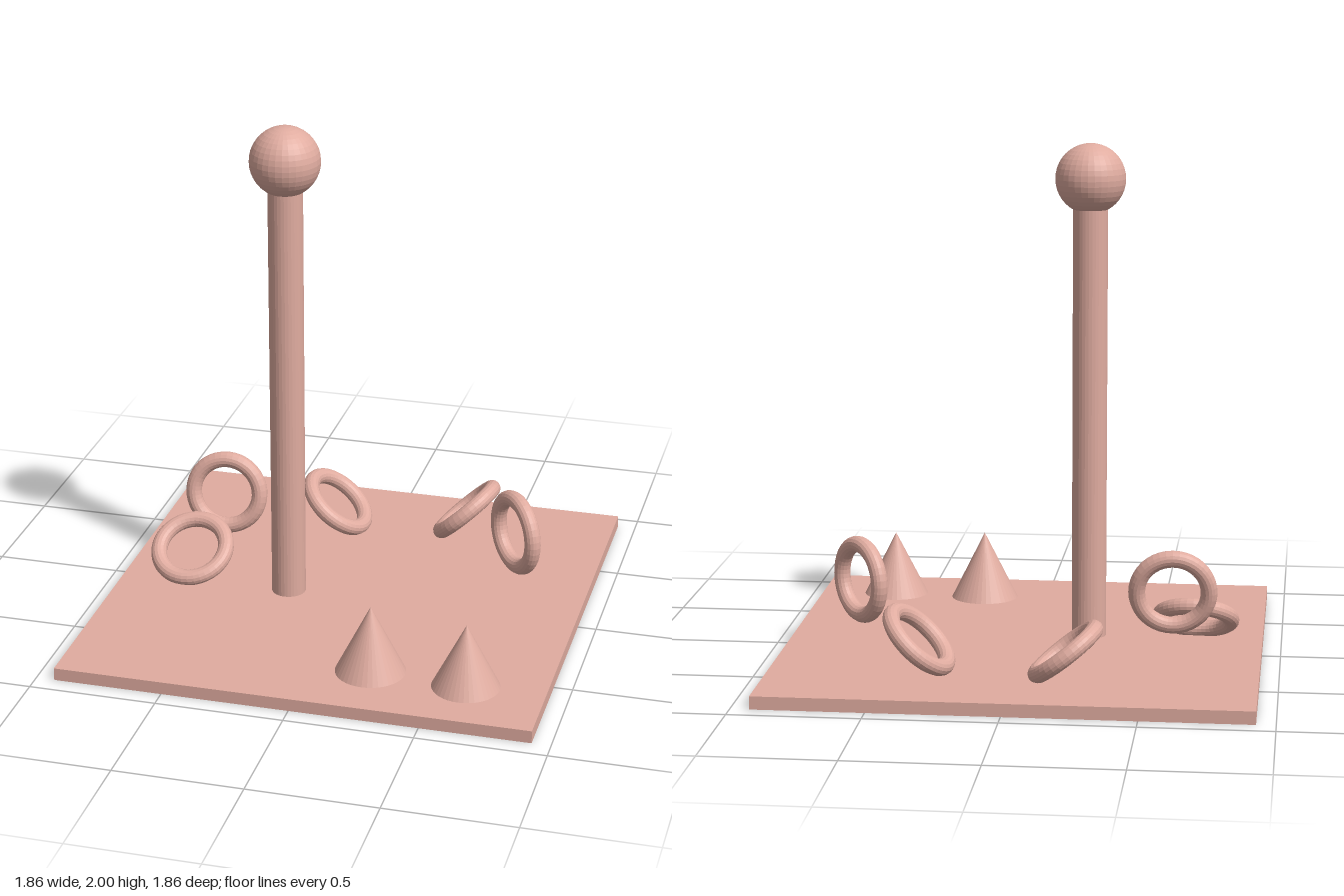
import * as THREE from 'three';

const material = new THREE.MeshStandardMaterial({ color: 0xe0aca0, flatShading: true });
const BASE_TOP = 0.05;

export function createModel() {
  const model = new THREE.Group();
  const add = (name, geometry, x, y, z) => {
    const mesh = new THREE.Mesh(geometry, material);
    mesh.name = name;
    mesh.position.set(x, y, z);
    model.add(mesh);
    return mesh;
  };

  // Square ground slab
  add('base', new THREE.BoxGeometry(1.855, BASE_TOP, 1.855), 0, BASE_TOP / 2, 0);

  // Tall pole topped by a ball
  const poleHeight = 1.76;
  add('pole', new THREE.CylinderGeometry(0.068, 0.068, poleHeight, 32), -0.24, BASE_TOP + poleHeight / 2, 0.07);
  add('poleBall', new THREE.SphereGeometry(0.137, 32, 20), -0.24, 1.863, 0.07);

  // Cones: radius, height, x, z
  [
    [0.136, 0.272, 0.243, 0.635],
    [0.131, 0.258, 0.62, 0.66],
  ].forEach(([r, h, x, z], i) => {
    add(`cone${i + 1}`, new THREE.ConeGeometry(r, h, 40), x, BASE_TOP + h / 2, z);
  });

  // Scattered rings: centre and the direction each ring's axis points
  const ringGeometry = new THREE.TorusGeometry(0.139, 0.0325, 16, 40);
  const forward = new THREE.Vector3(0, 0, 1);
  [
    { at: [-0.587, 0.305, -0.223], axis: [0.04, 0.18, 0.98] },
    { at: [-0.666, 0.148, 0.003], axis: [-0.03, 0.84, 0.54] },
    { at: [-0.204, 0.152, -0.561], axis: [0.62, 0.78, 0.03] },
    { at: [0.349, 0.184, -0.562], axis: [-0.68, 0.72, -0.1] },
    { at: [0.637, 0.307, -0.154], axis: [0.76, 0, -0.65] },
  ].forEach(({ at, axis }, i) => {
    const ring = add(`ring${i + 1}`, ringGeometry, ...at);
    ring.quaternion.setFromUnitVectors(forward, new THREE.Vector3(...axis).normalize());
  });

  return model;
}
